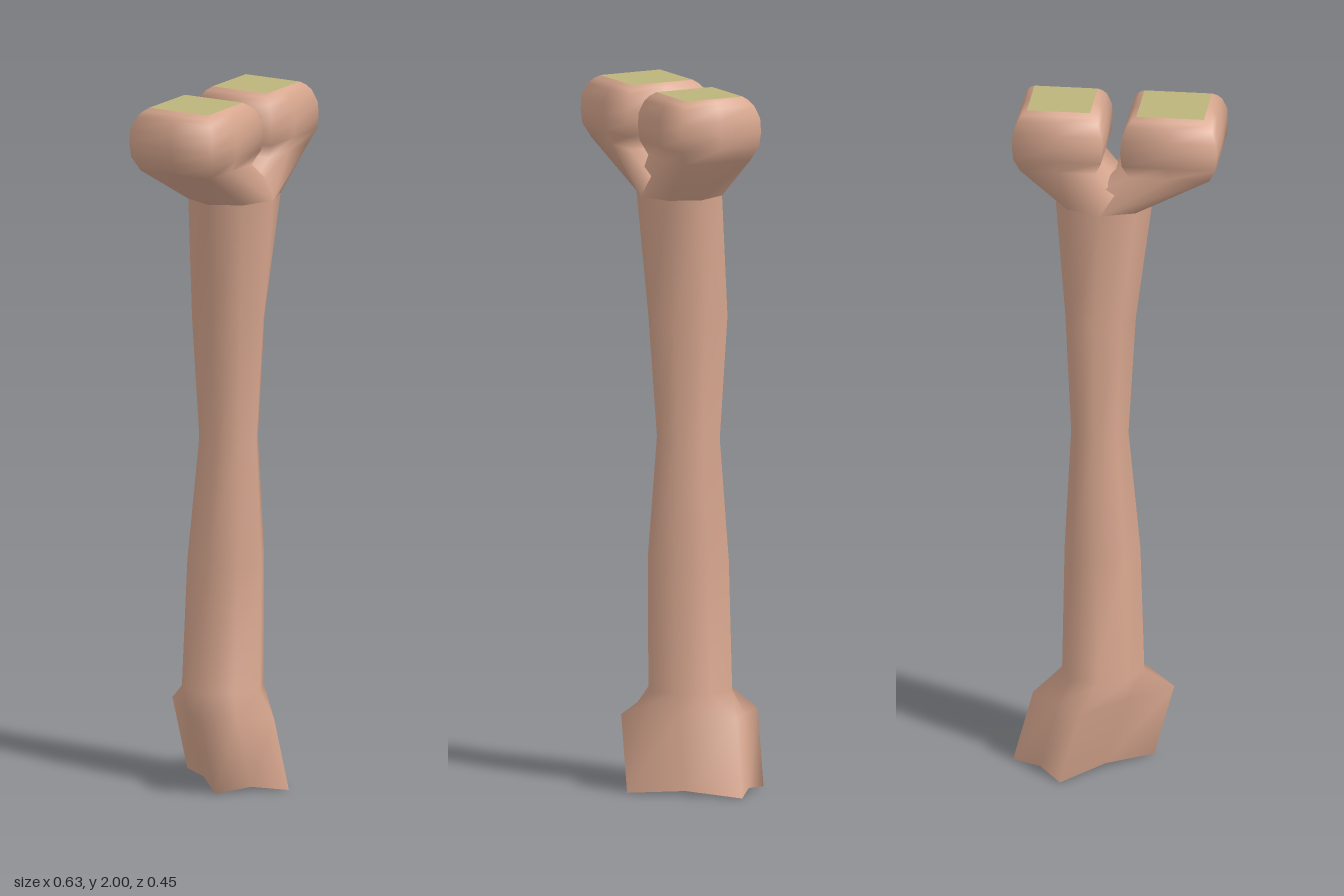
import * as THREE from 'three';

const bone = new THREE.MeshStandardMaterial({ color: 0xd8a78f });
const marrow = new THREE.MeshStandardMaterial({ color: 0xbdb57c });
const FOOT_TURN = Math.PI / 6, KNOB_TURN = -Math.PI / 12;

// Eight-point oval ring
function ovalRing(y, cx, cz, rx, rz, turn) {
  return Array.from({ length: 8 }, (_, k) => {
    const t = turn + k * Math.PI / 4;
    return new THREE.Vector3(cx + rx * Math.cos(t), y, cz + rz * Math.sin(t));
  });
}

// Eight-point rectangle ring: edge middles (even) and corners (odd);
// pinch pulls the middles in, lift raises them
function boxRing(y, cx, cz, a, b, turn, pinch = 1, lift = 0) {
  return Array.from({ length: 8 }, (_, k) => {
    const t = k * Math.PI / 4, mid = k % 2 === 0;
    const u = a * Math.round(Math.cos(t)) * (mid ? pinch : 1);
    const v = b * Math.round(Math.sin(t)) * (mid ? pinch : 1);
    return new THREE.Vector3(
      cx + u * Math.cos(turn) - v * Math.sin(turn),
      y + (mid ? lift : 0),
      cz + u * Math.sin(turn) + v * Math.cos(turn));
  });
}

function build(points, index, material, name) {
  const g = new THREE.BufferGeometry().setFromPoints(points);
  g.setIndex(index);
  g.computeVertexNormals();
  const mesh = new THREE.Mesh(g, material);
  mesh.name = name;
  return mesh;
}

// Smooth skin through rings listed from bottom to top
function loft(rings, name) {
  const index = [];
  for (let r = 0; r < rings.length - 1; r++) {
    for (let k = 0; k < 8; k++) {
      const a = r * 8 + k, b = r * 8 + (k + 1) % 8;
      index.push(a, a + 8, b, a + 8, b + 8, b);
    }
  }
  return build(rings.flat(), index, bone, name);
}

// Fan closing a ring, facing up or down
function cap(ring, centerY, up, name) {
  const c = new THREE.Vector3();
  ring.forEach(p => c.addScaledVector(p, 1 / 8));
  c.y = centerY;
  const index = [];
  for (let k = 0; k < 8; k++) {
    const n = (k + 1) % 8;
    index.push(8, up ? n : k, up ? k : n);
  }
  return build([...ring, c], index, marrow, name);
}

export function createModel() {
  const group = new THREE.Group();
  group.name = 'bone';

  // Shaft and its flared lower end: y, centre x, centre z, radius x, radius z
  const shaft = [
    [0.28, 0.033, -0.025, 0.116, 0.124],
    [0.65, 0.038, -0.018, 0.106, 0.121],
    [1.0, 0.047, -0.016, 0.08, 0.094],
    [1.35, 0.045, -0.015, 0.098, 0.119],
    [1.7, 0.045, 0.01, 0.139, 0.124],
  ];
  const sole = boxRing(0, 0.0925, -0.025, 0.107, 0.169, FOOT_TURN, 0.93, 0.012);
  const shoulder = boxRing(0.215, 0.0325, -0.0225, 0.107, 0.169, FOOT_TURN, 0.97);
  group.add(loft([sole, shoulder, ...shaft.map(s => ovalRing(...s, FOOT_TURN))], 'shaft'));

  // Hollowed underside with an inset patch
  const patch = boxRing(0.018, 0.0925, -0.025, 0.075, 0.118, FOOT_TURN, 0.95, 0.008);
  group.add(loft([patch, sole], 'undersideRim'));
  group.add(cap(patch, 0.03, false, 'undersidePatch'));

  // Twin knobs growing out of the shaft top: y, share of full half width
  const profile = [[1.82, 0.83], [1.86, 0.97], [1.9, 1], [1.94, 0.985], [1.975, 0.89], [1.99, 0.8], [2, 0.7]];
  const knobs = [['rightKnob', -0.149, 0.058, 0.137], ['leftKnob', 0.159, -0.021, 0.128]];
  for (const [name, x, z, half] of knobs) {
    const rings = profile.map(([y, s]) => boxRing(y, x, z, half * s, half * s, KNOB_TURN));
    const neck = ovalRing(...shaft[4], KNOB_TURN);
    group.add(loft([neck, ...rings], name));
    group.add(cap(rings[rings.length - 1], 2, true, name + 'Top'));
  }
  return group;
}
